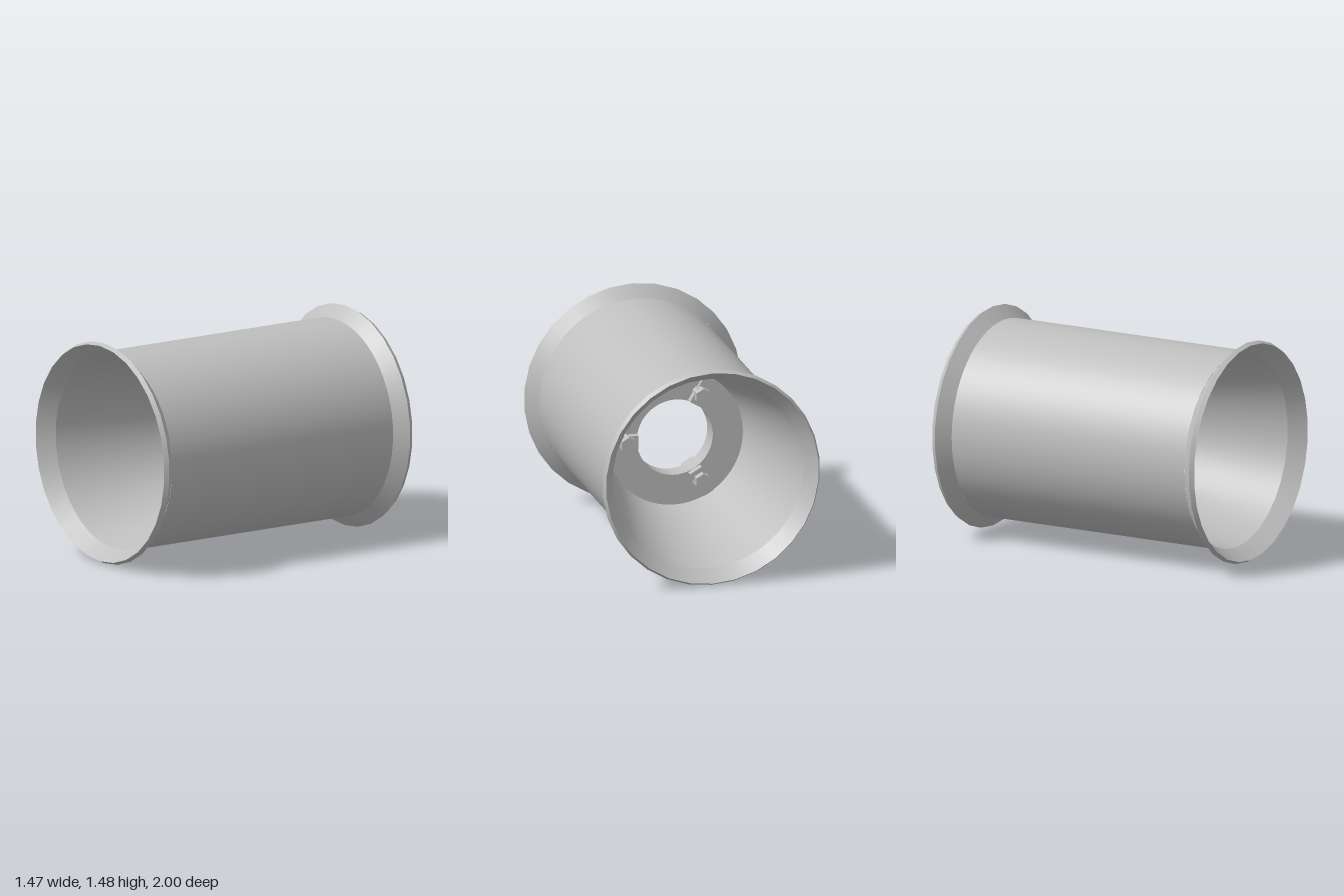
import * as THREE from 'three';
import { mergeGeometries } from 'three/addons/utils/BufferGeometryUtils.js';

const steel = new THREE.MeshStandardMaterial({ color: 0xbfbfbf });
steel.name = 'grey steel';

// Revolve each straight run separately so the edges between runs stay sharp
function revolve(name, profile, segments) {
  const runs = [];
  for (let i = 0; i < profile.length - 1; i++) {
    const pts = [profile[i], profile[i + 1]].map(([r, z]) => new THREE.Vector2(r, z));
    runs.push(new THREE.LatheGeometry(pts, segments));
  }
  const geometry = mergeGeometries(runs);
  geometry.rotateX(Math.PI / 2);
  const mesh = new THREE.Mesh(geometry, steel);
  mesh.name = name;
  return mesh;
}

const mirrored = (profile) => profile.map(([r, z]) => [r, -z]).reverse();

// Six-sided bar along +z with flat facets
function hexBar(name, radius, length) {
  const geometry = new THREE.CylinderGeometry(radius, radius, length, 6).toNonIndexed();
  geometry.computeVertexNormals();
  geometry.rotateX(Math.PI / 2);
  const mesh = new THREE.Mesh(geometry, steel);
  mesh.name = name;
  return mesh;
}

function block(name, x0, x1, width, depth) {
  const mesh = new THREE.Mesh(new THREE.BoxGeometry(x1 - x0, width, depth), steel);
  mesh.name = name;
  mesh.position.set((x0 + x1) / 2, 0, depth / 2);
  return mesh;
}

// Clamp with its bolt, lying along the radius
function createClamp() {
  const clamp = new THREE.Group();
  clamp.name = 'clamp';
  const bolt = hexBar('bolt', 0.055, 0.1);
  bolt.position.set(0.337, 0, 0.05);
  clamp.add(
    block('clampFoot', 0.26, 0.365, 0.092, 0.05),
    block('clampArm', 0.365, 0.452, 0.075, 0.03),
    bolt
  );
  return clamp;
}

export function createModel() {
  const model = new THREE.Group();
  model.name = 'wheelRim';
  const rim = new THREE.Group();
  rim.name = 'rim';
  rim.position.y = 0.738;
  model.add(rim);

  const web = 0.07; // half thickness of the centre disc

  // Outer barrel
  rim.add(revolve('barrel', [[0.657, -0.89], [0.657, 0.89]], 64));

  // Flared flanges and tapering dishes at both ends
  const flange = [[0.657, 0.89], [0.738, 0.97], [0.722, 1.0], [0.65, 0.89]];
  const dish = [[0.652, 0.89], [0.462, web]];
  rim.add(revolve('frontFlange', flange, 30), revolve('backFlange', mirrored(flange), 30));
  rim.add(revolve('frontDish', dish, 64), revolve('backDish', mirrored(dish), 64));

  // Centre disc with its bore
  rim.add(revolve('centreDisc', [[0.462, web], [0.258, web], [0.258, -web], [0.462, -web]], 64));

  // Three clamps on each face of the disc
  for (let i = 0; i < 3; i++) {
    const angle = (i * Math.PI * 2) / 3;
    const front = createClamp();
    front.position.z = web;
    front.rotation.z = angle;
    const side = new THREE.Group();
    side.name = 'backClamp';
    side.rotation.y = Math.PI;
    const back = createClamp();
    back.position.z = web;
    back.rotation.z = Math.PI - angle;
    side.add(back);
    rim.add(front, side);
  }

  // Valve stem leaning out of the front dish
  const valve = new THREE.Group();
  valve.name = 'valve';
  valve.rotation.z = Math.PI / 3;
  const stem = hexBar('valveStem', 0.033, 0.14);
  stem.position.set(0.508, 0, 0.3);
  stem.rotation.y = -0.35;
  valve.add(stem);
  rim.add(valve);

  return model;
}
